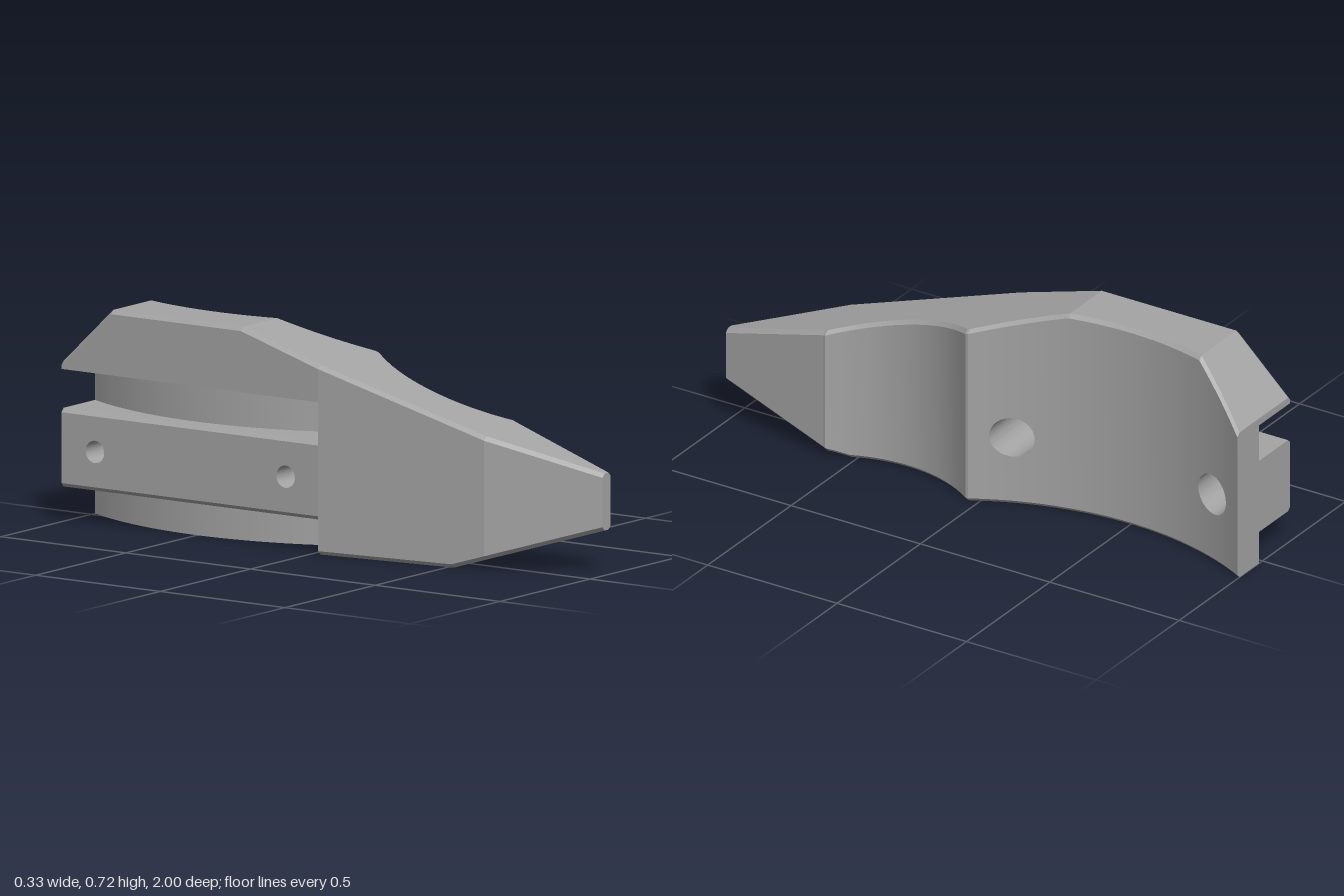
import * as THREE from 'three';
import { toCreasedNormals } from 'three/addons/utils/BufferGeometryUtils.js';

const C = 0.013;                                   // edge chamfer
const MID = 0.245, HOLES = [-0.1, -0.865];         // screw holes: height and z
const BORE = 0.07, SCREW = 0.037, SHOULDER = -0.08;
const STEP = 0.03;                                 // front end of the grooves
const RAIL_B = 0.115, RAIL_T = 0.375, GROOVE_T = 0.505;

// Linear interpolation along [z, value] points
const along = (pts) => (z) => {
  let i = 1;
  while (i < pts.length - 1 && z > pts[i][0]) i++;
  const [a, b] = [pts[i - 1], pts[i]];
  return a[1] + (b[1] - a[1]) * THREE.MathUtils.clamp((z - a[0]) / (b[0] - a[0]), 0, 1);
};
const top = along([[-1, 0.53], [-0.8, 0.72], [-0.28, 0.72], [1, 0.337]]);
const bottom = along([[0.52, 0], [1, 0.148]]);
const flatSide = along([[STEP, -0.167], [0.64, -0.09], [1, 0.069]]);
const nose = along([[0.59, 0.153], [1, 0.115]]);
const scoop = (z, z0, x0, r) => x0 + r - Math.sqrt(r * r - (z - z0) ** 2);
const scoopedSide = (z) => z > 0.59 ? nose(z)
  : Math.min(0.167, z > 0.04 ? scoop(z, 0.325, 0.075, 0.48) : scoop(z, -0.5, 0.025, 1.06));

// Half height of a hole of radius r at z
const holeAt = (z, r) => Math.max(...HOLES.map((h) => Math.sqrt(Math.max(0, r * r - (z - h) ** 2))));

// Lower and upper half of the cross-section; the last three edges of each are the hole
function section(z, grooved) {
  const l = flatSide(z), r = scoopedSide(z), t = top(z), b = bottom(z), i = r - 0.13;
  const h = holeAt(z, BORE), s = holeAt(z, SCREW);
  const lowLeft = grooved
    ? [[l, RAIL_B + C], [l + C, RAIL_B], [i, RAIL_B], [i, b]]
    : [[l, b + C], [l + C, b]];
  const grooveEdge = grooved
    ? [[l, GROOVE_T], [i, GROOVE_T], [i, RAIL_T], [l + C, RAIL_T], [l, RAIL_T - C]]
    : [];
  return [
    [[l, MID - s], ...lowLeft, [r - C, b], [r, b + C], [r, MID - h], [SHOULDER, MID - h], [SHOULDER, MID - s]],
    [[r, MID + h], [r, t - C], [r - C, t], [l + C, t], [l, t - C], ...grooveEdge,
      [l, MID + s], [SHOULDER, MID + s], [SHOULDER, MID + h]],
  ];
}

// Stations along z, finer around the holes
function stations() {
  const list = [-1, -0.8, -0.28, 0.02, STEP, 0.04, 0.52, 0.59, 0.64, 1];
  for (let i = 1; i < 60; i++) list.push(-1 + i / 30);
  for (const h of HOLES) for (const r of [BORE, SCREW])
    for (let k = 0; k <= 20; k++) list.push(h - r * Math.cos(k / 20 * Math.PI));
  list.sort((a, b) => a - b);
  return list.filter((z, i) => i === 0 || z - list[i - 1] > 1e-5);
}

function bodyGeometry() {
  const pos = [];
  const tri = (...p) => p.forEach((v) => pos.push(...v));
  const cap = (contour, z, back) => {
    const pts = contour.map(([x, y]) => new THREE.Vector2(x, y));
    for (const f of THREE.ShapeUtils.triangulateShape(pts, [])) {
      if (back) f.reverse();
      tri(...f.map((k) => [pts[k].x, pts[k].y, z]));
    }
  };
  const outline = ([low, up]) => [...low.slice(0, -2), ...up.slice(1, -3)];

  // Skin and hole walls, strip by strip
  const zs = stations();
  for (let i = 0; i + 1 < zs.length; i++) {
    const [z0, z1] = [zs[i], zs[i + 1]], m = (z0 + z1) / 2;
    const grooved = m < STEP, holed = holeAt(m, BORE) > 0;
    const A = section(z0, grooved), B = section(z1, grooved);
    for (const half of [0, 1]) {
      const a = A[half], b = B[half], n = a.length;
      for (let k = 0; k < (holed ? n : n - 3); k++) {
        const q = (k + 1) % n;
        const ap = [...a[k], z0], aq = [...a[q], z0], bp = [...b[k], z1], bq = [...b[q], z1];
        const same = (u, v) => Math.abs(u[0] - v[0]) + Math.abs(u[1] - v[1]) < 1e-7;
        if (!same(ap, aq)) tri(ap, aq, bq);
        if (!same(bp, bq)) tri(ap, bq, bp);
      }
    }
  }
  // Back end and nose
  cap(outline(section(-1, true)), -1, true);
  cap(outline(section(1, false)), 1, false);
  // Front walls of the upper groove and the lower rebate
  const l = flatSide(STEP), i = scoopedSide(STEP) - 0.13;
  cap([[l, RAIL_T - C], [l + C, RAIL_T - C], [i, RAIL_T], [i, GROOVE_T], [l, GROOVE_T]], STEP, true);
  cap([[l + C, 0], [i, 0], [i, RAIL_B], [l + C, RAIL_B], [l, RAIL_B + C], [l, C]], STEP, true);

  const geometry = new THREE.BufferGeometry();
  geometry.setAttribute('position', new THREE.Float32BufferAttribute(pos, 3));
  return toCreasedNormals(geometry, 0.11);
}

export function createModel() {
  const group = new THREE.Group();
  group.name = 'gripPanel';
  const grey = new THREE.MeshStandardMaterial({ color: 0xa4a4a4 });
  grey.name = 'grey';
  const body = new THREE.Mesh(bodyGeometry(), grey);
  body.name = 'panelBody';
  group.add(body);
  return group;
}
